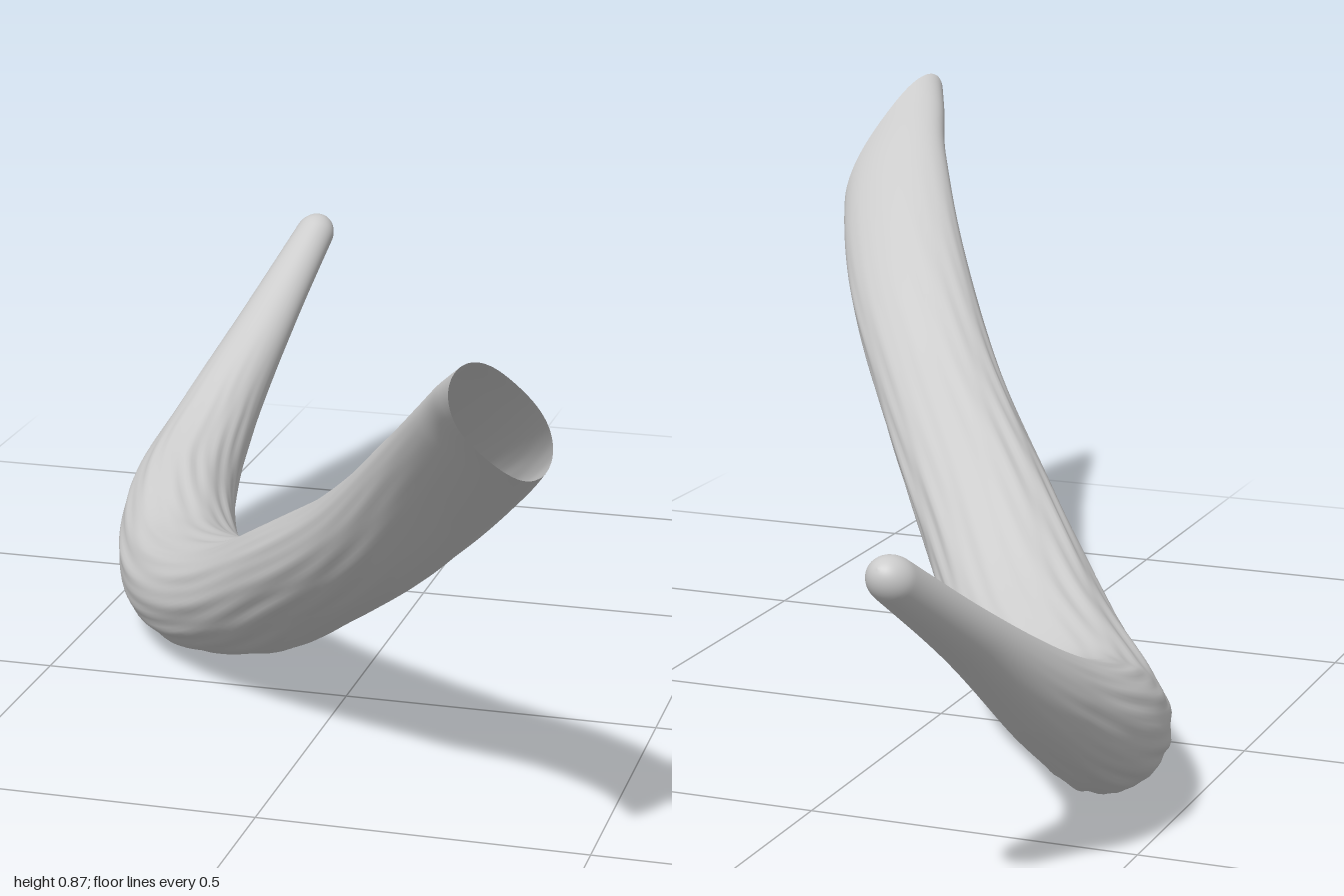
import * as THREE from 'three';

// centre line from tip to mouth, and [long half-width, short half-width, roll] at each station
const path = [
  [-0.32, 0.53, -1.0], [-0.365, 0.39, -0.8], [-0.405, 0.25, -0.6], [-0.405, 0.155, -0.4],
  [-0.325, 0.107, -0.2], [-0.16, 0.16, 0], [0.0, 0.285, 0.2], [0.16, 0.425, 0.4],
  [0.305, 0.585, 0.6], [0.41, 0.72, 0.8], [0.455, 0.8, 0.95], [0.5, 0.88, 1.1],
];
const section = [
  [0.032, 0.03, 0], [0.05, 0.042, 0], [0.07, 0.07, 0], [0.093, 0.094, 0],
  [0.108, 0.1, -0.1], [0.12, 0.092, -0.25], [0.112, 0.083, -0.35], [0.104, 0.073, -0.38],
  [0.104, 0.06, -0.38], [0.095, 0.05, -0.38], [0.075, 0.045, -0.38], [0.05, 0.04, -0.38],
];
const toCurve = (list) => new THREE.CatmullRomCurve3(
  list.map((p) => new THREE.Vector3(...p)), false, 'catmullrom', 0.5);
const centre = toCurve(path);
const sizes = toCurve(section);
const UP = new THREE.Vector3(0, 1, 0);

// slanting plane that cuts the mouth
const cutNormal = new THREE.Vector3(1, -0.43, 0.5);
const CUT = 0.564;

// shallow lengthwise grooves, fading out at both ends
function groove(t, a) {
  const fade = THREE.MathUtils.smoothstep(t, 0.1, 0.25) * (1 - THREE.MathUtils.smoothstep(t, 0.55, 0.85));
  const wave = Math.sin(a * 13 + 3 * Math.sin(t * 9)) * Math.sin(t * 23 + a * 2)
    + 0.7 * Math.sin(a * 21 - 2 * Math.sin(t * 14)) * Math.sin(t * 31 - a * 3);
  return 1 + 0.017 * fade * wave;
}

// point on the horn: t along it, a around it, k scales the section
function hornPoint(t, a, k = 1) {
  const c = centre.getPoint(t);
  const T = centre.getTangent(t);
  const S = new THREE.Vector3().crossVectors(UP, T).normalize();
  const N = new THREE.Vector3().crossVectors(T, S);
  const { x: w, y: h, z: roll } = sizes.getPoint(t);
  const u = Math.min(1, t / 0.014); // rounded tip
  const r = k * groove(t, a) * Math.sqrt(1 - (1 - u) ** 2);
  const p = Math.cos(a) * w * r;
  const q = Math.sin(a) * h * r;
  return c.addScaledVector(S, p * Math.cos(roll) - q * Math.sin(roll))
    .addScaledVector(N, p * Math.sin(roll) + q * Math.cos(roll));
}

// where the line at angle a meets the cutting plane
function cutAt(a) {
  let lo = 0.6, hi = 1;
  for (let i = 0; i < 24; i++) {
    const mid = (lo + hi) / 2;
    if (hornPoint(mid, a).dot(cutNormal) < CUT) lo = mid; else hi = mid;
  }
  return lo;
}

// closed-around surface from rows of points
function skin(rows, cols, pointAt, inward = false) {
  const pos = [], index = [];
  for (let i = 0; i <= rows; i++) {
    for (let j = 0; j < cols; j++) pos.push(...pointAt(i / rows, j).toArray());
  }
  for (let i = 0; i < rows; i++) {
    for (let j = 0; j < cols; j++) {
      const a = i * cols + j, b = i * cols + (j + 1) % cols;
      const c = a + cols, d = b + cols;
      if (inward) index.push(a, d, b, a, c, d);
      else index.push(a, b, d, a, d, c);
    }
  }
  const g = new THREE.BufferGeometry();
  g.setAttribute('position', new THREE.Float32BufferAttribute(pos, 3));
  g.setIndex(index);
  g.computeVertexNormals();
  return g;
}

export function createModel() {
  const group = new THREE.Group();
  group.name = 'horn';
  const material = new THREE.MeshStandardMaterial({ color: 0xcccccc, side: THREE.DoubleSide });
  const COLS = 96;
  const angles = Array.from({ length: COLS }, (_, j) => (j / COLS) * Math.PI * 2);
  const ends = angles.map(cutAt);

  // curved outer horn, tip to slanted mouth
  const shell = new THREE.Mesh(
    skin(150, COLS, (s, j) => hornPoint(ends[j] * s ** 1.6, angles[j])), material);
  shell.name = 'hornShell';

  // hollow inside the mouth, narrowing to a point
  const DEEP = 0.58;
  const cavity = new THREE.Mesh(
    skin(24, COLS, (s, j) => hornPoint(
      THREE.MathUtils.lerp(DEEP, ends[j], s), angles[j], Math.sqrt(1 - (1 - s) ** 2)), true), material);
  cavity.name = 'mouthCavity';

  group.add(shell, cavity);
  return group;
}
